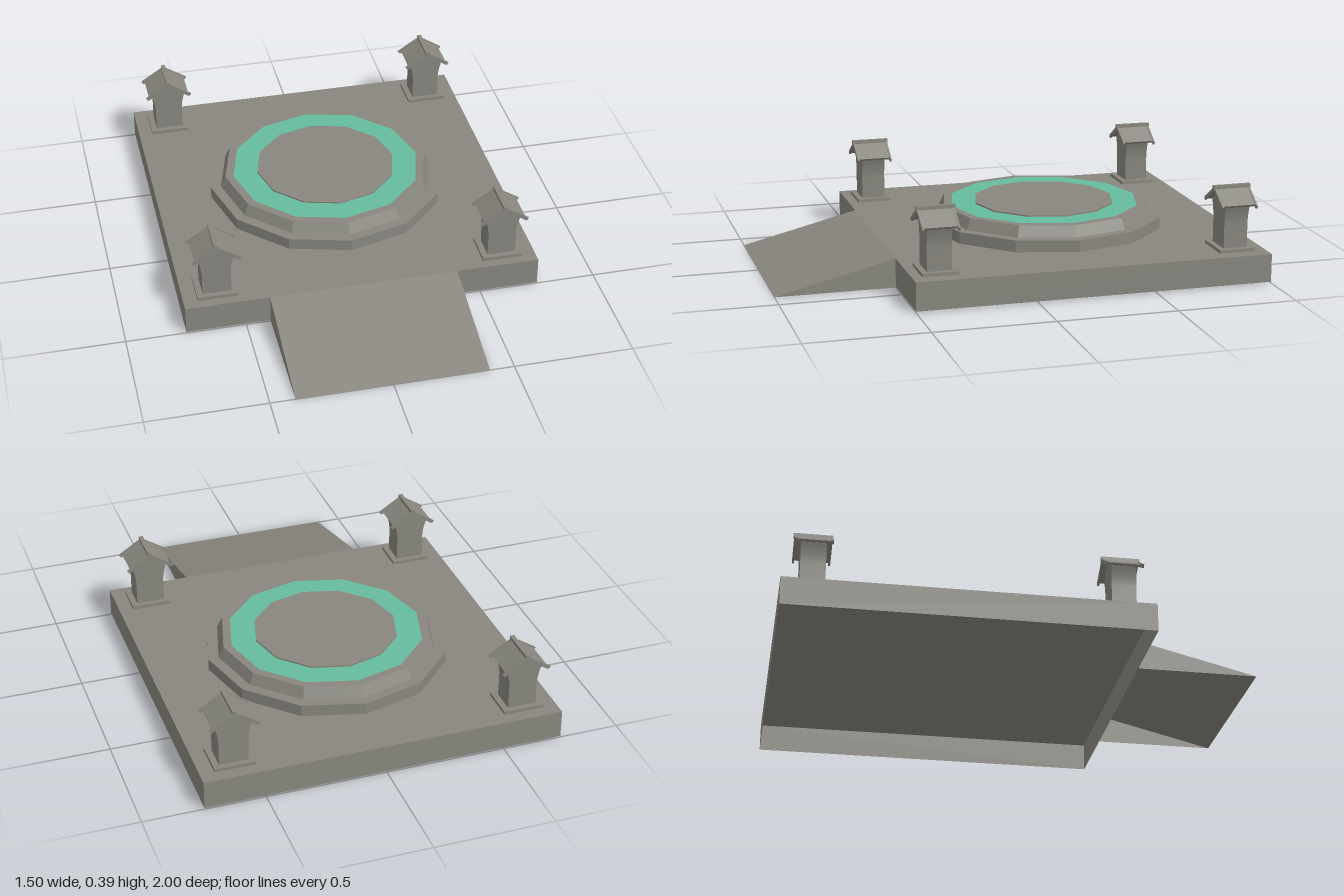
import * as THREE from 'three';
import { toCreasedNormals } from 'three/addons/utils/BufferGeometryUtils.js';

const stone = new THREE.MeshStandardMaterial({ color: 0x88867e, side: THREE.DoubleSide });
stone.name = 'grey stone';
const jade = new THREE.MeshStandardMaterial({ color: 0x66bb9f, side: THREE.DoubleSide });
jade.name = 'jade inlay';

const FLOOR = 0.124;

function add(parent, name, geometry, material = stone, x = 0, y = 0, z = 0) {
  const mesh = new THREE.Mesh(geometry, material);
  mesh.name = name;
  mesh.position.set(x, y, z);
  parent.add(mesh);
  return mesh;
}

// Box keeping only the listed faces (0 +x, 1 -x, 2 top, 3 bottom, 4 front, 5 back)
function openBox(w, h, d, faces) {
  const geo = new THREE.BoxGeometry(w, h, d);
  const index = Array.from(geo.index.array);
  geo.setIndex(faces.flatMap((f) => index.slice(f * 6, f * 6 + 6)));
  geo.clearGroups();
  return geo;
}

// Twelve-sided faceted turning from [radius, height] pairs
function turned(profile) {
  const geo = new THREE.LatheGeometry(profile.map(([r, y]) => new THREE.Vector2(r, y)), 12);
  return toCreasedNormals(geo, 0.1);
}

function extruded(shape, depth) {
  const geo = new THREE.ExtrudeGeometry(shape, { depth, bevelEnabled: false, curveSegments: 8 });
  geo.translate(0, 0, -depth / 2);
  return toCreasedNormals(geo, 0.5);
}

// Gable-shaped chevron: half width, eave height, peak height, thickness
function chevron(half, eave, peak, t) {
  const s = new THREE.Shape();
  s.moveTo(0, peak);
  s.lineTo(-half, eave);
  s.lineTo(-half + t * 0.6, eave - t * 0.8);
  s.lineTo(0, peak - t * 1.25);
  s.lineTo(half - t * 0.6, eave - t * 0.8);
  s.lineTo(half, eave);
  s.closePath();
  return s;
}

function createLantern() {
  const lantern = new THREE.Group();
  lantern.name = 'stoneLantern';
  add(lantern, 'lanternFoot', new THREE.BoxGeometry(0.17, 0.014, 0.15), stone, 0, 0.007, 0);

  // Pillar flaring under a gable, flat on front and back
  const p = new THREE.Shape();
  p.moveTo(-0.06, 0.012);
  p.lineTo(0.06, 0.012);
  p.lineTo(0.06, 0.115);
  p.quadraticCurveTo(0.062, 0.155, 0.077, 0.194);
  p.lineTo(0, 0.247);
  p.lineTo(-0.077, 0.194);
  p.quadraticCurveTo(-0.062, 0.155, -0.06, 0.115);
  p.closePath();
  add(lantern, 'lanternPillar', extruded(p, 0.102));

  // Roof slabs, end boards and ridge
  add(lantern, 'lanternRoof', extruded(chevron(0.09, 0.2, 0.259, 0.011), 0.146));
  for (const side of [-1, 1]) {
    add(lantern, 'roofEndBoard', extruded(chevron(0.103, 0.196, 0.262, 0.015), 0.008), stone, 0, 0, side * 0.073);
  }
  add(lantern, 'roofRidge', new THREE.BoxGeometry(0.018, 0.018, 0.16), stone, 0, 0.259, 0);
  return lantern;
}

export function createModel() {
  const model = new THREE.Group();
  model.name = 'courtyardPlatform';

  // Hollow platform, open underneath
  add(model, 'platform', openBox(1.5, FLOOR - 0.005, 1.5, [0, 1, 2, 4, 5]), stone, 0, (FLOOR + 0.005) / 2, -0.25);

  // Entry ramp: a box whose front top edge drops to the ground
  const ramp = openBox(0.795, FLOOR, 0.5, [0, 1, 2]);
  const pos = ramp.attributes.position;
  for (let i = 0; i < pos.count; i++) if (pos.getZ(i) > 0) pos.setY(i, -FLOOR / 2);
  ramp.computeVertexNormals();
  add(model, 'entryRamp', ramp, stone, 0, FLOOR / 2, 0.75);

  // Stepped twelve-sided dais with an inlaid ring
  const dais = new THREE.Group();
  dais.name = 'dais';
  dais.position.z = -0.25;
  add(dais, 'daisStep', turned([[0.512, FLOOR], [0.512, 0.174], [0.468, 0.174]]));
  add(dais, 'daisRim', turned([[0.468, 0.174], [0.446, 0.221], [0.411, 0.221]]));
  add(dais, 'inlaidRing', turned([[0.411, 0.221], [0.304, 0.221]]), jade);
  add(dais, 'centreDisc', turned([[0.304, 0.221], [0.304, 0.227], [0, 0.227]]));
  model.add(dais);

  // Lanterns at the four corners
  for (const x of [-0.606, 0.606]) {
    for (const z of [-0.872, 0.384]) {
      const lantern = createLantern();
      lantern.position.set(x, FLOOR, z);
      model.add(lantern);
    }
  }
  return model;
}
